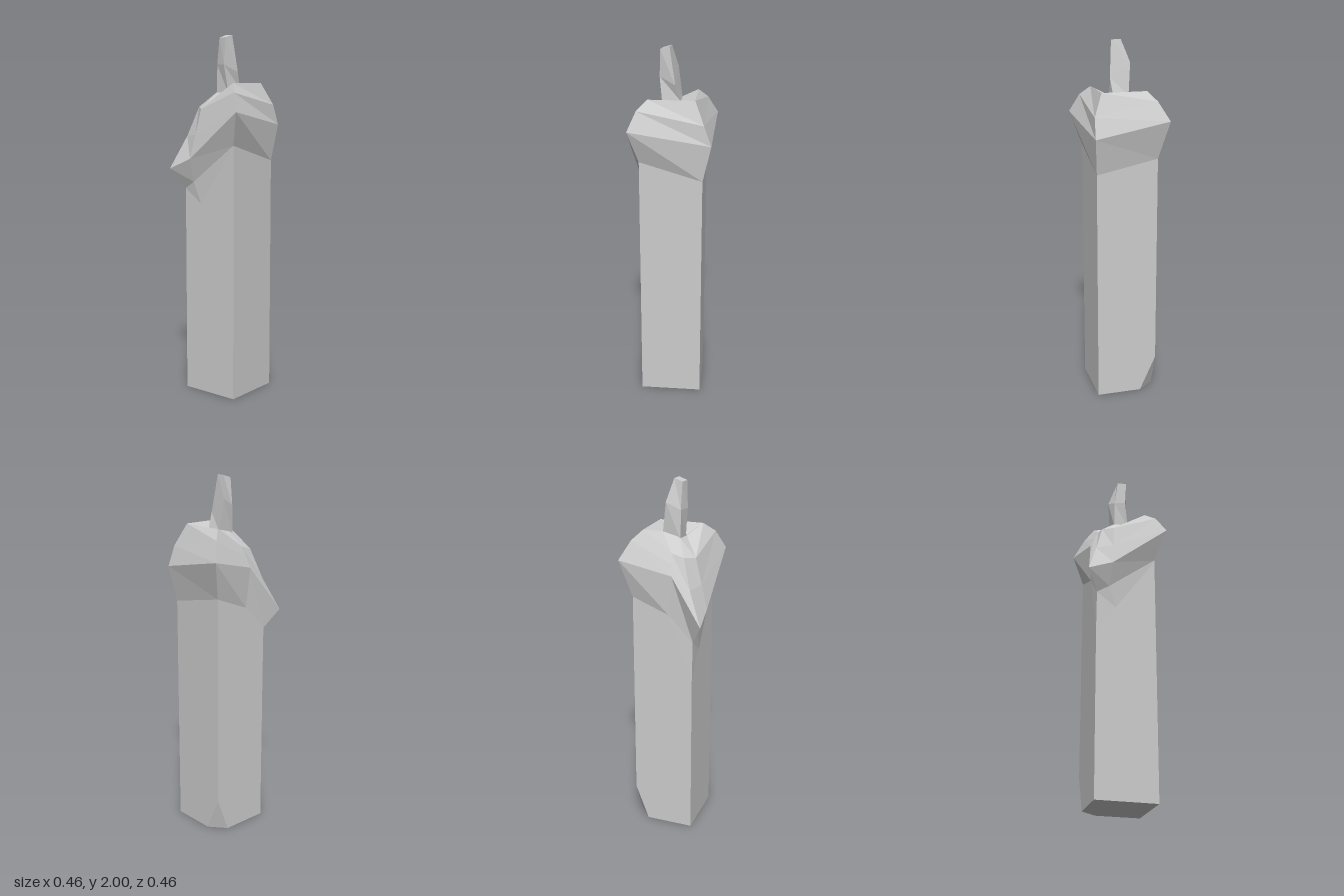
import * as THREE from 'three';

// Skin a stack of rings (top to bottom, clockwise seen from above) with flat facets.
function loft(rings, { capTop = false, capBottom = false } = {}) {
  const out = [];
  const tri = (a, b, c) => out.push(...a, ...b, ...c);
  const n = rings[0].length;
  for (let r = 0; r < rings.length - 1; r++) {
    const a = rings[r], b = rings[r + 1];
    for (let i = 0; i < n; i++) {
      const j = (i + 1) % n;
      tri(a[i], a[j], b[i]);
      tri(a[j], b[j], b[i]);
    }
  }
  const top = rings[0], bottom = rings[rings.length - 1];
  for (let i = 1; i < n - 1; i++) {
    if (capTop) tri(top[0], top[i + 1], top[i]);
    if (capBottom) tri(bottom[0], bottom[i], bottom[i + 1]);
  }
  const g = new THREE.BufferGeometry();
  g.setAttribute('position', new THREE.Float32BufferAttribute(out, 3));
  g.computeVertexNormals();
  return g;
}

export function createModel() {
  const group = new THREE.Group();
  group.name = 'candle';
  const wax = new THREE.MeshStandardMaterial({ color: 0xcccccc, flatShading: true });
  wax.name = 'pale grey wax';

  const add = (name, geometry) => {
    const mesh = new THREE.Mesh(geometry, wax);
    mesh.name = name;
    group.add(mesh);
  };

  // Columns of the wax: back +x, front +x, front middle, front -x, side -x, back -x
  const skirt = [[0.17, 1.31, -0.175], [0.17, 1.41, 0.165], [-0.10, 1.2, 0.178],
    [-0.168, 1.16, 0.168], [-0.17, 1.3, 0.03], [-0.17, 1.38, -0.175]];

  // Melted cap: sunken top, sloping shoulder, overhanging rim with a long drip
  add('meltedCap', loft([
    [[0.045, 1.72, -0.05], [0.045, 1.69, 0.055], [0.03, 1.69, 0.06],
      [-0.04, 1.69, 0.05], [-0.04, 1.70, 0.03], [-0.04, 1.72, -0.05]],
    [[0.13, 1.74, -0.13], [0.13, 1.74, 0.12], [-0.07, 1.60, 0.148],
      [-0.125, 1.61, 0.10], [-0.13, 1.63, 0.033], [-0.12, 1.74, -0.13]],
    [[0.18, 1.62, -0.18], [0.18, 1.69, 0.175], [-0.08, 1.46, 0.185],
      [-0.17, 1.45, 0.15], [-0.155, 1.58, 0.04], [-0.165, 1.69, -0.18]],
    [[0.185, 1.51, -0.22], [0.23, 1.59, 0.22], [-0.09, 1.33, 0.22],
      [-0.23, 1.27, 0.23], [-0.18, 1.52, 0.05], [-0.22, 1.59, -0.233]],
    skirt,
  ]));

  // Square shaft: slight bulge under the drip, one bottom corner chipped off
  add('shaft', loft([
    skirt,
    [[0.17, 1.30, -0.175], [0.17, 1.40, 0.165], [-0.06, 1.08, 0.165],
      [-0.17, 0.92, 0.165], [-0.17, 1.0, 0.03], [-0.17, 1.3, -0.175]],
    [[0.17, 0.2, -0.175], [0.17, 0.2, 0.165], [-0.06, 0.2, 0.165],
      [-0.17, 0.2, 0.165], [-0.17, 0.2, 0.03], [-0.17, 0.2, -0.175]],
    [[0.17, 0, -0.175], [0.17, 0, 0.165], [-0.06, 0, 0.165],
      [-0.17, 0, 0.165], [-0.17, 0, -0.10], [-0.08, 0, -0.175]],
  ], { capBottom: true }));

  // Crooked four-sided wick
  add('wick', loft([
    [[0.04, 2.0, 0.013], [0.033, 1.985, 0.062], [-0.018, 1.985, 0.052], [-0.012, 2.0, 0.005]],
    [[0.055, 1.80, -0.018], [0.025, 1.84, 0.067], [-0.035, 1.84, 0.05], [-0.055, 1.88, -0.027]],
    [[0.045, 1.71, -0.05], [0.045, 1.68, 0.05], [-0.038, 1.68, 0.05], [-0.04, 1.71, -0.05]],
  ], { capTop: true }));

  return group;
}
